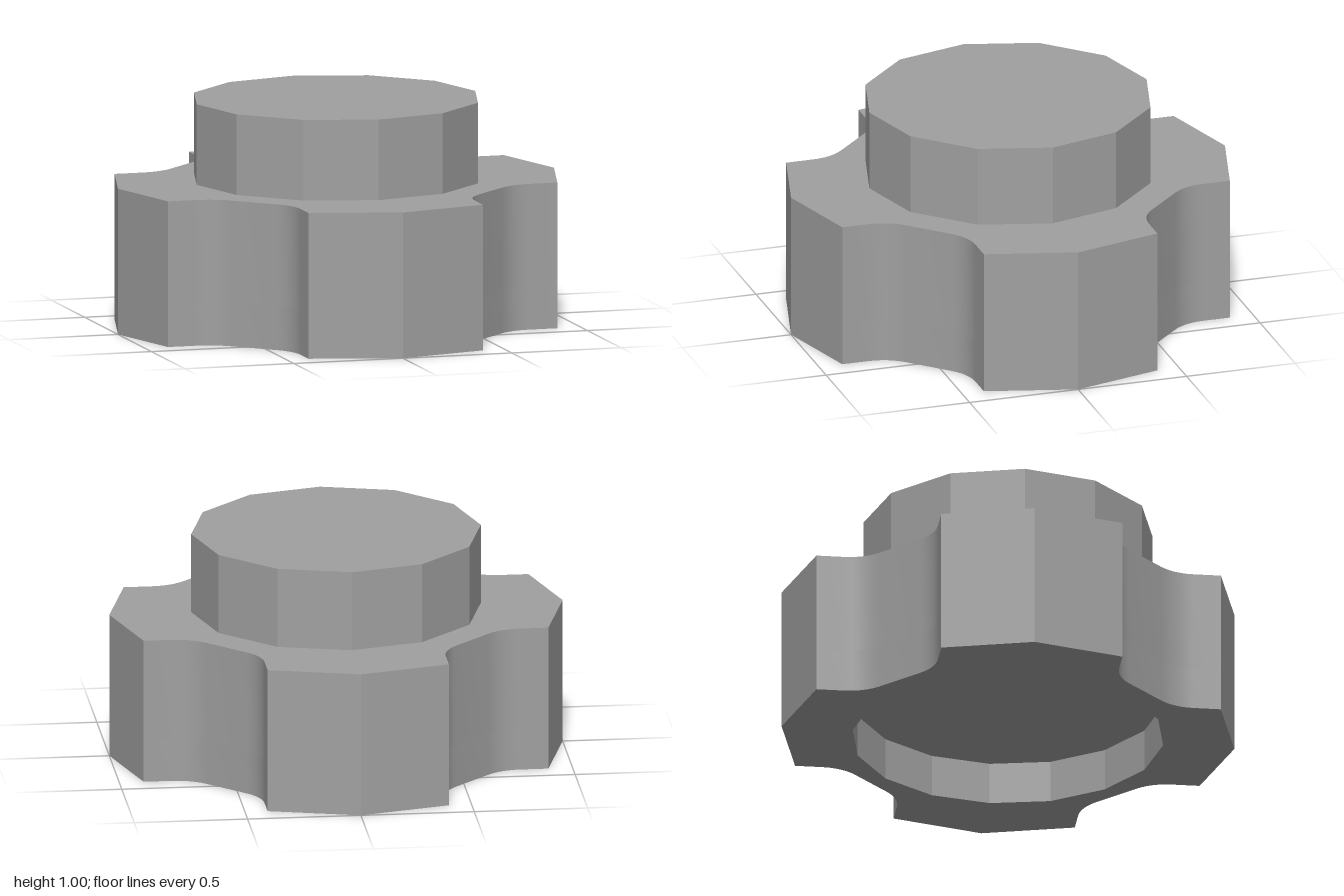
import * as THREE from 'three';
import { toCreasedNormals } from 'three/addons/utils/BufferGeometryUtils.js';

const HEIGHT = 0.647, RECESS = 0.19, TOP = 1.005, GREY = 0xa0a0a0;

// Twelve-sided outline with a rounded notch cut into each diagonal
function outline() {
  const a = 0.4, r = 0.21, t = 0.77, steps = 6;
  const quarter = [[1, 0], [0.893, a]];
  const arc = [];
  for (let i = 0; i <= steps; i++) {
    const w = (i / steps) * Math.PI / 4;
    arc.push([t - r * Math.sin(w), a + r * (1 - Math.cos(w))]);
  }
  quarter.push(...arc, ...arc.map(([x, y]) => [y, x]).reverse(), [a, 0.893]);
  const pts = [];
  for (let k = 0; k < 4; k++) {
    for (const [x, y] of quarter) {
      pts.push(new THREE.Vector2(x, y).rotateAround(new THREE.Vector2(), k * Math.PI / 2));
    }
  }
  return pts;
}

// Regular polygon path for the hole in the underside
function polygon(radius, sides) {
  return new THREE.Path(Array.from({ length: sides }, (_, i) => {
    const w = -i / sides * Math.PI * 2;
    return new THREE.Vector2(radius * Math.cos(w), radius * Math.sin(w));
  }));
}

function slab(shape, y0, y1) {
  const geo = new THREE.ExtrudeGeometry(shape, { depth: y1 - y0, bevelEnabled: false });
  geo.rotateX(-Math.PI / 2);
  geo.translate(0, y0, 0);
  return toCreasedNormals(geo, 0.3);
}

export function createModel() {
  const group = new THREE.Group();
  const material = new THREE.MeshStandardMaterial({ color: GREY });
  const flat = new THREE.MeshStandardMaterial({ color: GREY, flatShading: true });
  const add = (name, geo, mat) => {
    const mesh = new THREE.Mesh(geo, mat);
    mesh.name = name;
    group.add(mesh);
  };

  // Lower rim, open in the middle to form the recess
  const rim = new THREE.Shape(outline());
  rim.holes.push(polygon(0.685, 16));
  add('lowerRim', slab(rim, 0, RECESS), material);

  // Solid body above the recess
  add('body', slab(new THREE.Shape(outline()), RECESS, HEIGHT), material);

  // Twelve-sided stud on top
  const stud = new THREE.CylinderGeometry(0.639, 0.639, TOP - HEIGHT, 12);
  stud.translate(0, (TOP + HEIGHT) / 2, 0);
  add('stud', stud, flat);

  return group;
}
